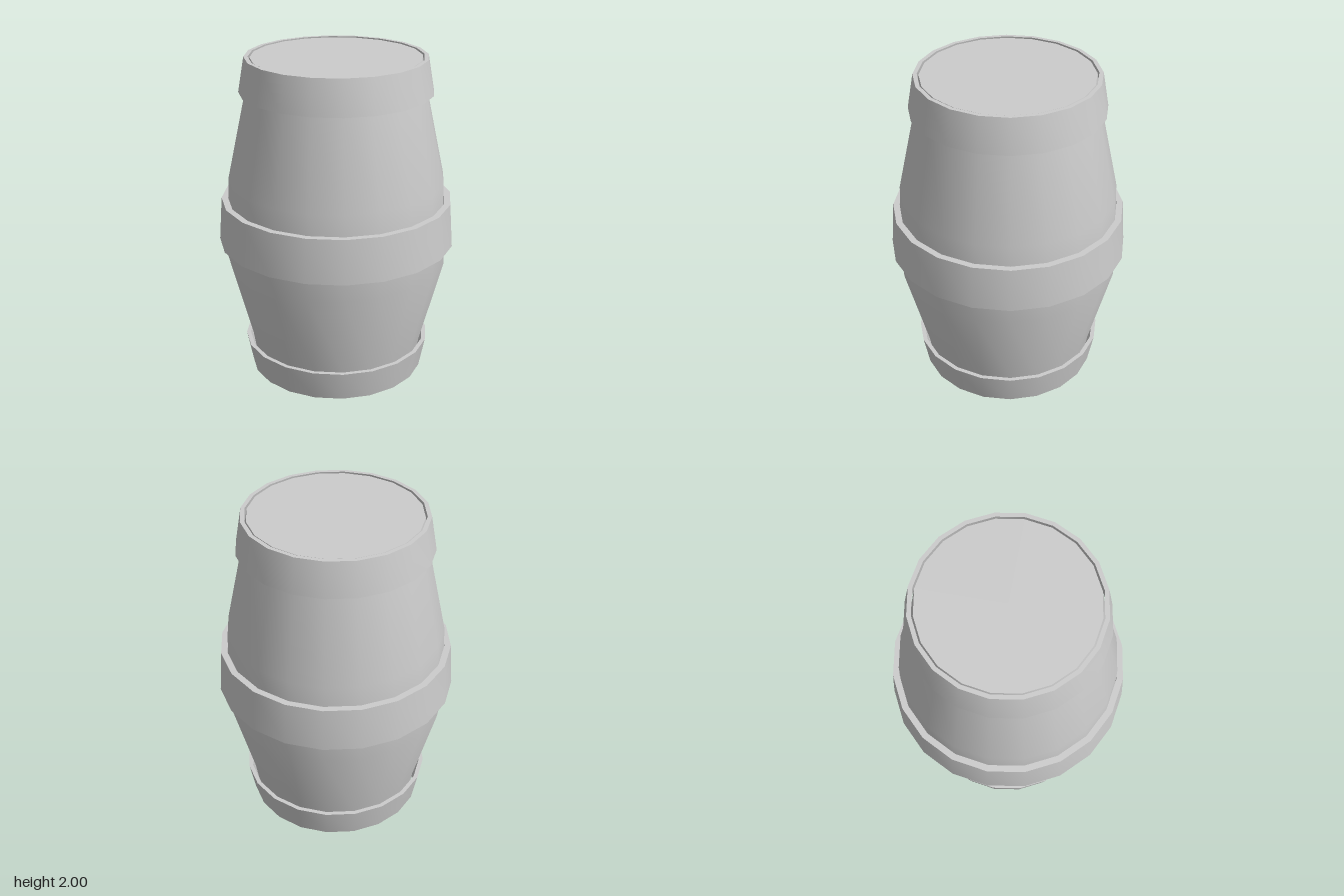
import * as THREE from 'three';
import { toCreasedNormals } from 'three/addons/utils/BufferGeometryUtils.js';

const SIDES = 20;
const material = new THREE.MeshStandardMaterial({ color: 0xcccccc });

// Revolves [radius, height] points, keeping sharp rims but a smooth curved wall.
function turned(name, profile) {
  const points = profile.map(([r, y]) => new THREE.Vector2(r, y));
  const geometry = toCreasedNormals(new THREE.LatheGeometry(points, SIDES), 0.7);
  const mesh = new THREE.Mesh(geometry, material);
  mesh.name = name;
  return mesh;
}

// Closed band: outer wall, top rim, inner wall, bottom rim.
function hoop(name, y0, y1, outer0, outer1, inner0, inner1) {
  return turned(name, [
    [outer0, y0], [outer1, y1], [inner1, y1], [inner0, y0], [outer0, y0],
  ]);
}

export function createModel() {
  const barrel = new THREE.Group();
  barrel.name = 'barrel';

  // Bulging staves with flat heads at both ends
  barrel.add(turned('barrelBody', [
    [0, 0.005], [0.51, 0.005], [0.54, 0.19], [0.68, 0.73],
    [0.66, 1.25], [0.543, 1.79], [0.51, 1.995], [0, 1.995],
  ]));

  // Flared bands around the ends and the belly
  barrel.add(hoop('bottomHoop', 0, 0.19, 0.545, 0.582, 0.52, 0.556));
  barrel.add(hoop('middleHoop', 0.855, 1.125, 0.727, 0.707, 0.69, 0.668));
  barrel.add(hoop('topHoop', 1.79, 2, 0.582, 0.545, 0.556, 0.52));

  return barrel;
}
